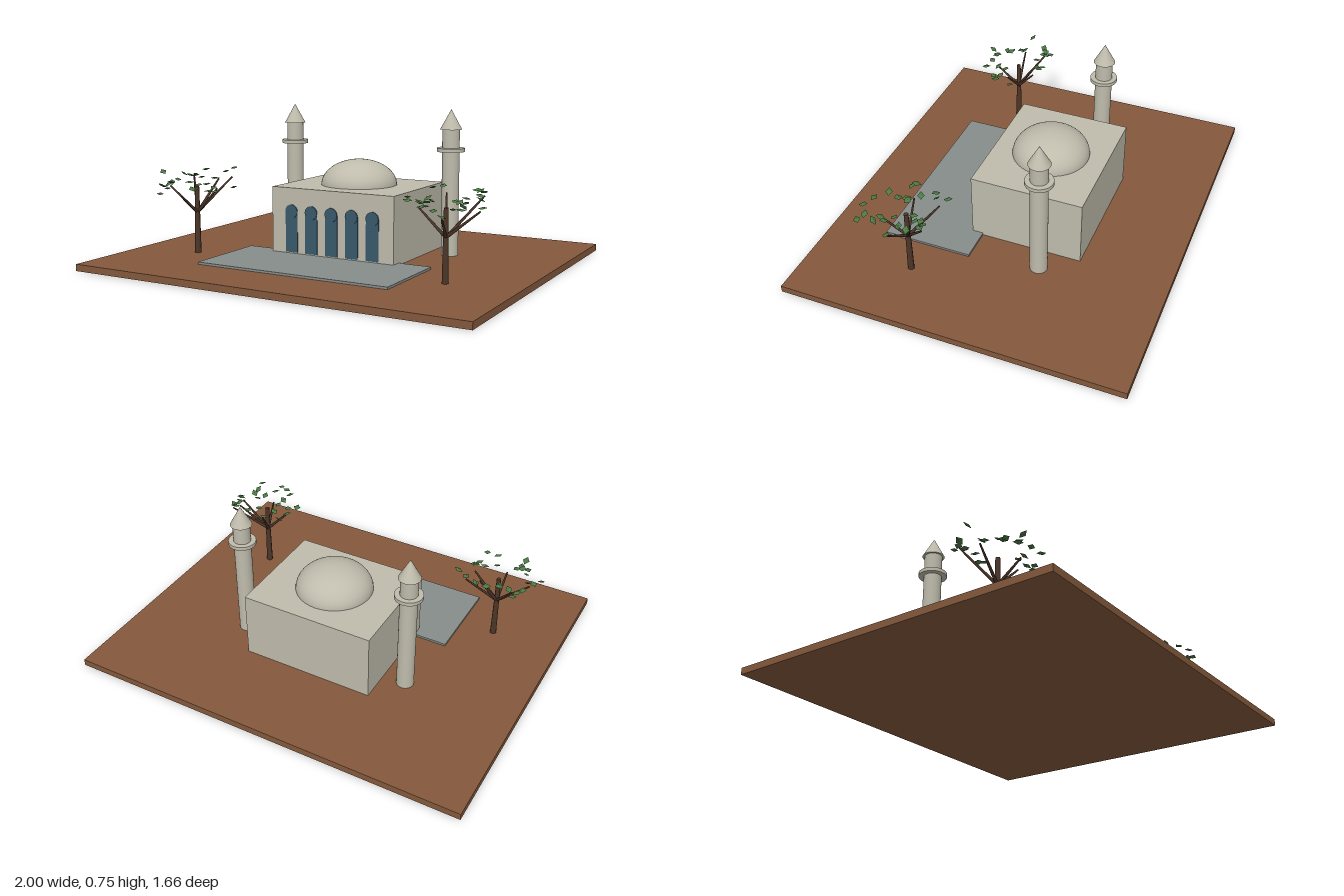
import * as THREE from 'three';

const mat = (name, color, flatShading = false) => {
  const m = new THREE.MeshStandardMaterial({ color, flatShading });
  m.name = name;
  return m;
};

function createMaterials() {
  return {
    earth: mat('earth brown', 0x84593c),
    stone: mat('pale stone', 0xbfbcac),
    paving: mat('paving grey', 0x878d8a),
    glass: mat('window blue', 0x38586b),
    bark: mat('bark brown', 0x4d3628),
    leaf: mat('leaf green', 0x4a7a42, true),
  };
}

function add(parent, name, geometry, material, x = 0, y = 0, z = 0) {
  const mesh = new THREE.Mesh(geometry, material);
  mesh.name = name;
  mesh.position.set(x, y, z);
  parent.add(mesh);
  return mesh;
}

// Tapered round limb between two points
function limb(parent, name, from, to, r0, r1, material) {
  const dir = to.clone().sub(from);
  const mesh = add(parent, name, new THREE.CylinderGeometry(r1, r0, dir.length(), 8), material);
  mesh.position.copy(from).addScaledVector(dir, 0.5);
  mesh.quaternion.setFromUnitVectors(new THREE.Vector3(0, 1, 0), dir.normalize());
}

const GROUND = 0.033;

// Plan offsets from the trunk, in hundredths
const TREES = [
  {
    name: 'rightTree', x: -0.667,
    branches: [[-11, -12], [-15, 2], [0, 12], [13, 1], [12, -13], [6, -10]],
    leaves: [[-21, 0], [-13, -11], [-9, -11], [-4, -9], [2, -12], [6, -16], [-5, -14], [11, -16],
      [20, -3], [14, 5], [6, 13], [12, 14], [5, 10], [-7, 18], [-8, 10], [-14, 2], [-16, 5], [9, 4],
      [16, 7], [-12, -14], [-6, 7], [-6, 15], [-9, 17], [-15, -9], [14, 9], [-11, 8]],
  },
  {
    name: 'leftTree', x: 0.667,
    branches: [[-12, 2], [-6, -14], [12, -14], [3, 11], [16, 1], [12, -8]],
    leaves: [[-9, -17], [-11, -10], [-16, 5], [-13, -1], [-6, 7], [-7, 12], [-2, 17], [3, 20], [14, 17],
      [11, 5], [17, 1], [13, -7], [12, -13], [5, -10], [7, 2], [7, 9], [2, -5], [-6, 2], [14, -4],
      [-10, 5], [10, -14], [-13, -9], [12, 10], [6, 18], [10, -10], [-17, 3]],
  },
];

function buildTree({ name, x, branches, leaves }, m) {
  const tree = new THREE.Group();
  tree.name = name;
  tree.position.set(x, 0, 0.333);
  let seed = x > 0 ? 17 : 41;
  const rand = () => (seed = (seed * 16807) % 2147483647) / 2147483647;
  for (let i = 0; i < 5; i++) rand();

  limb(tree, 'trunk', new THREE.Vector3(0, GROUND, 0), new THREE.Vector3(0, 0.365, 0), 0.016, 0.011, m.bark);
  // Branches fan outwards; the ones at the back rise higher
  for (const [bx, bz] of branches) {
    limb(tree, 'branch', new THREE.Vector3(0, 0.235, 0),
      new THREE.Vector3(bx / 100, 0.365 - bz * 0.003, bz / 100), 0.008, 0.004, m.bark);
  }
  // Leaves are thin diamond shapes, loosely scattered
  const leafGeo = new THREE.OctahedronGeometry(1).scale(0.023, 0.005, 0.017);
  for (const [lx, lz] of leaves) {
    const leaf = add(tree, 'leaf', leafGeo, m.leaf,
      lx / 100, 0.395 - lz * 0.0015 + (rand() - 0.5) * 0.06, lz / 100);
    leaf.rotation.set((rand() - 0.5) * 0.8, rand() * Math.PI, (rand() - 0.5) * 0.8);
  }
  return tree;
}

function buildMinaret(side, m) {
  const minaret = new THREE.Group();
  minaret.name = side > 0 ? 'leftMinaret' : 'rightMinaret';
  minaret.position.set(side * 0.444, 0, -0.222);
  const height = 0.65 - GROUND;
  add(minaret, 'shaft', new THREE.CylinderGeometry(0.042, 0.042, height, 32), m.stone, 0, GROUND + height / 2);
  add(minaret, 'balcony', new THREE.CylinderGeometry(0.067, 0.067, 0.018, 32), m.stone, 0, 0.551);
  add(minaret, 'spire', new THREE.ConeGeometry(0.053, 0.097, 32), m.stone, 0, 0.698);
  return minaret;
}

export function createModel() {
  const m = createMaterials();
  const model = new THREE.Group();
  model.name = 'domedHallWithMinarets';

  // Ground and forecourt
  add(model, 'ground', new THREE.BoxGeometry(2, GROUND, 1.665), m.earth, 0, GROUND / 2);
  add(model, 'forecourt', new THREE.BoxGeometry(1, 0.011, 0.44), m.paving, 0, GROUND + 0.0055, 0.333);

  // Hall and flattened dome
  add(model, 'hall', new THREE.BoxGeometry(0.666, 0.333, 0.555), m.stone, 0, GROUND + 0.1665, -0.111);
  const dome = new THREE.SphereGeometry(0.188, 40, 16, 0, Math.PI * 2, 0, Math.PI / 2).scale(1, 0.67, 1);
  add(model, 'dome', dome, m.stone, 0, 0.366, -0.111);

  // Five round-headed windows, the heads standing slightly proud
  for (let i = -2; i <= 2; i++) {
    const windowGroup = new THREE.Group();
    windowGroup.name = 'archedWindow';
    windowGroup.position.set(i * 0.111, 0, 0.1665);
    add(windowGroup, 'pane', new THREE.BoxGeometry(0.067, 0.203, 0.004), m.glass, 0, 0.1505, 0.001);
    const head = new THREE.CylinderGeometry(0.0335, 0.0335, 0.008, 24).rotateX(Math.PI / 2);
    add(windowGroup, 'windowHead', head, m.glass, 0, 0.251, 0.002);
    model.add(windowGroup);
  }

  for (const side of [-1, 1]) model.add(buildMinaret(side, m));
  for (const tree of TREES) model.add(buildTree(tree, m));
  return model;
}
